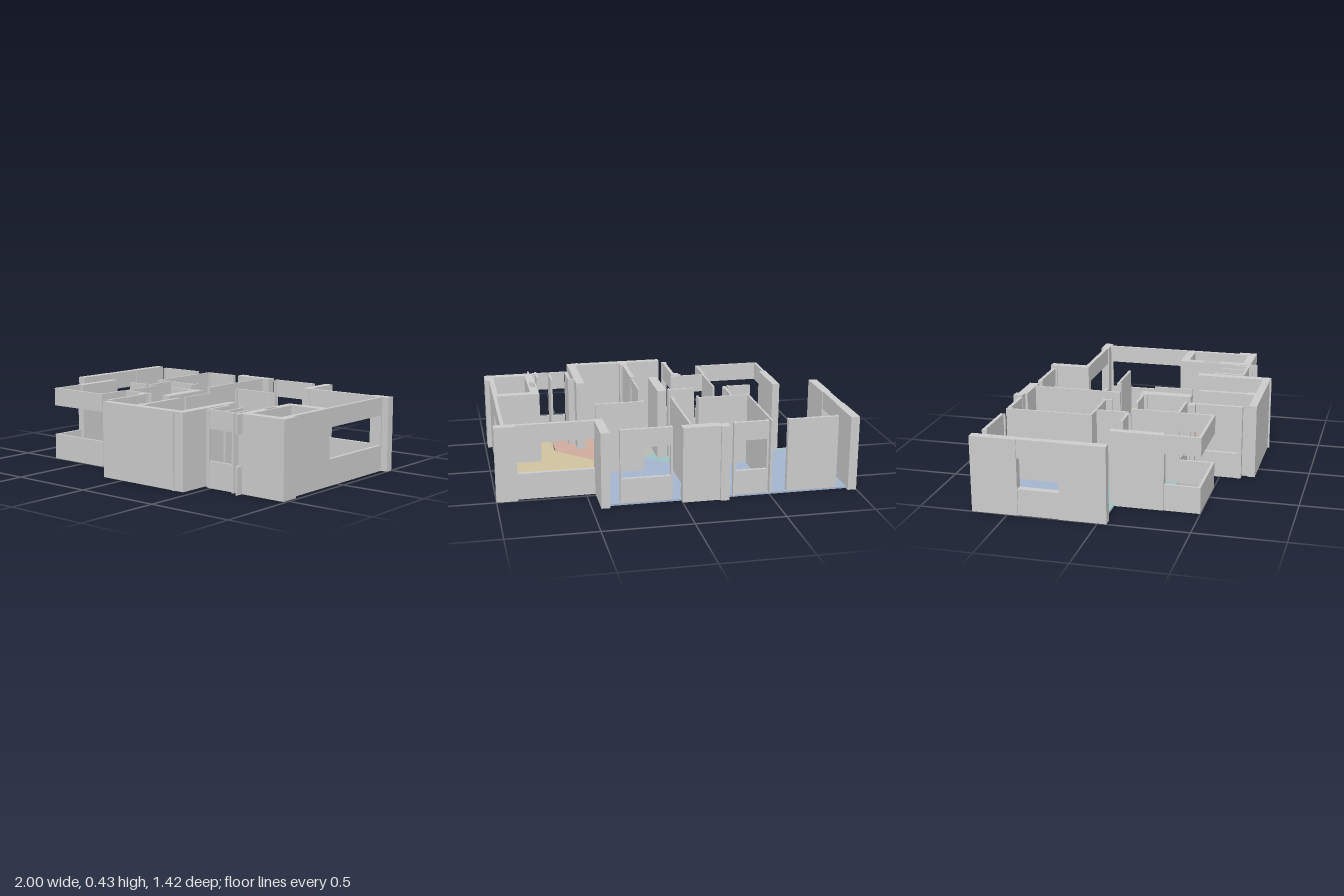
import * as THREE from 'three';

const H = 0.43, SILL = 0.15, HEAD = 0.325, FLOOR = 0.01;

export function createModel() {
  const model = new THREE.Group();
  const grey = new THREE.MeshStandardMaterial({ color: 0xcccccc });

  // Box between two plan corners and two heights
  function block(parent, name, [x0, x1, z0, z1], y0 = 0, y1 = H) {
    const mesh = new THREE.Mesh(new THREE.BoxGeometry(x1 - x0, y1 - y0, z1 - z0), grey);
    mesh.position.set((x0 + x1) / 2, (y0 + y1) / 2, (z0 + z1) / 2);
    mesh.name = name;
    parent.add(mesh);
  }
  // Wall with an open window band: low parapet and high lintel
  function openWall(name, rect) {
    const g = new THREE.Group();
    g.name = name;
    block(g, 'parapet', rect, 0, SILL);
    block(g, 'lintel', rect, HEAD, H);
    model.add(g);
  }
  // Plan outline extruded upwards, with optional holes
  function slab(name, pts, height, material, holes = []) {
    const toVec = ([x, z]) => new THREE.Vector2(x, z);
    const shape = new THREE.Shape(pts.map(toVec));
    holes.forEach(h => shape.holes.push(new THREE.Path(h.map(toVec))));
    const geo = new THREE.ExtrudeGeometry(shape, { depth: height, bevelEnabled: false });
    geo.rotateX(Math.PI / 2).translate(0, height, 0);
    const mesh = new THREE.Mesh(geo, material);
    mesh.name = name;
    model.add(mesh);
  }
  const rectPts = (x0, x1, z0, z1) => [[x0, z0], [x1, z0], [x1, z1], [x0, z1]];
  const floor = (name, color, pts) =>
    slab(name, pts, FLOOR, new THREE.MeshStandardMaterial({ color }));

  // Coloured room floors
  floor('bedroomFloor', 0xa3b4cf, [[-0.95, -0.67], [0.4, -0.67], [0.4, -0.45], [0.525, -0.45],
    [0.525, -0.395], [0.315, -0.185], [0.25, -0.185], [0.25, -0.08], [0.1, 0.05], [0.07, 0.02],
    [-0.055, -0.11], [-0.2, -0.115], [-0.24, -0.155], [-0.59, -0.15], [-0.725, -0.01], [-0.95, -0.01]]);
  floor('bathroomFloor', 0x9cc2c2, [[-0.59, -0.15], [-0.24, -0.155], [-0.2, -0.115], [-0.055, -0.11],
    [0.07, 0.02], [0, 0.09], [-0.05, 0.09], [-0.05, 0.29], [-0.71, 0.29], [-0.71, 0.025],
    [-0.95, 0.025], [-0.95, -0.01], [-0.725, -0.01]]);
  floor('balconyFloor', 0xaaaaaa, rectPts(-0.735, -0.35, 0.295, 0.495));
  floor('hallFloor', 0xb6b8b4, [[0, 0.09], [0.07, 0.02], [0.1, 0.05], [0.1, 0.655], [-0.13, 0.655],
    [-0.13, 0.295], [0, 0.295]]);
  floor('kitchenFloor', 0xceac9e, [[0.1, 0.05], [0.25, -0.08], [0.585, 0.25], [0.585, 0.52],
    [0.49, 0.52], [0.49, 0.36], [0.45, 0.36], [0.45, 0.27], [0.405, 0.27], [0.405, 0.655], [0.1, 0.655]]);
  floor('livingFloor', 0xd0c29e, [[0.525, -0.45], [0.945, -0.45], [0.945, 0.085], [0.69, 0.085],
    [0.69, 0.52], [0.59, 0.52], [0.59, 0.25], [0.25, -0.085], [0.25, -0.185], [0.315, -0.185], [0.525, -0.395]]);
  floor('shaftFloor', 0xc4c0b8, rectPts(0.74, 0.93, 0.13, 0.48));

  // Shaft tower with a slot in its thick side
  slab('shaftWalls', [[0.69, 0.08], [0.96, 0.08], [0.96, 0.42], [0.985, 0.42], [0.985, 0.53],
    [0.69, 0.53]], H, grey, [rectPts(0.74, 0.93, 0.13, 0.48), rectPts(0.7, 0.73, 0.23, 0.33)]);

  // West wall with its small window
  block(model, 'westWallBack', [-1, -0.95, -0.7, -0.44]);
  block(model, 'westWallFront', [-1, -0.95, -0.21, 0.05]);
  openWall('westWindow', [-0.995, -0.955, -0.44, -0.21]);

  // Back chimney block and wall piers
  slab('backPier', [[-0.26, -0.715], [-0.21, -0.715], [-0.21, -0.7], [0, -0.7], [0, -0.645],
    [-0.21, -0.645], [-0.21, -0.66], [-0.26, -0.66]], H, grey);
  block(model, 'backLeftPier', [0.4, 0.45, -0.7, -0.45]);
  slab('cornerPier', [[0.88, -0.5], [1, -0.5], [1, -0.45], [0.96, -0.45], [0.96, -0.44],
    [0.94, -0.44], [0.94, -0.45], [0.88, -0.45]], H, grey);

  // Window walls around the outside
  openWall('backWindow', [0.45, 0.88, -0.478, -0.455]);
  openWall('eastWindow', [0.94, 0.96, -0.44, 0.08]);
  openWall('middleBackWindow', [-0.48, -0.3, -0.668, -0.648]);
  openWall('leftBackWindow', [0.06, 0.33, -0.668, -0.648]);
  openWall('kitchenWindow', [0.49, 0.69, 0.515, 0.53]);
  openWall('kitchenWindowEnd', [0.705, 0.715, 0.53, 0.575]);
  openWall('hallWindow', [-0.175, -0.155, 0.33, 0.6]);
  openWall('bathroomWindow', [-0.34, -0.14, 0.285, 0.3]);
  openWall('balconyFront', [-0.745, -0.345, 0.485, 0.5]);
  openWall('balconyWest', [-0.745, -0.73, 0.3, 0.485]);
  openWall('balconyEast', [-0.36, -0.345, 0.3, 0.485]);

  // Solid walls, jambs and partitions
  const walls = {
    backPanel: [-0.88, -0.61, -0.668, -0.648],
    backPanelJambWest: [-0.89, -0.88, -0.668, -0.638],
    backPanelJambEast: [-0.61, -0.6, -0.668, -0.638],
    middleWindowJamb: [-0.49, -0.48, -0.668, -0.638],
    middleWindowJambEast: [-0.3, -0.29, -0.675, -0.645],
    leftWindowJambWest: [0.05, 0.06, -0.668, -0.638],
    leftWindowJambEast: [0.33, 0.34, -0.668, -0.638],
    frontWall: [-0.14, 0.45, 0.655, 0.7],
    frontWallNub: [0.38, 0.39, 0.7, 0.71],
    frontSideWall: [0.4, 0.45, 0.25, 0.655],
    hallPier: [-0.055, 0, 0, 0.3],
    hallWindowCap: [-0.21, -0.15, 0.318, 0.33],
    hallWindowReveal: [-0.2, -0.175, 0.33, 0.355],
    hallWindowEnd: [-0.18, -0.15, 0.6, 0.625],
    bathroomWestWall: [-0.75, -0.707, 0, 0.3],
    bedroomPartition: [-0.513, -0.501, -0.668, -0.165],
    bedroomInnerWall: [-0.501, -0.215, -0.177, -0.165],
    bedroomInnerEnd: [-0.215, -0.203, -0.195, -0.13],
    middlePartition: [-0.061, -0.049, -0.645, -0.18],
    middlePartitionEnd: [-0.068, -0.05, -0.18, -0.12],
    livingPartition: [0.12, 0.4, -0.188, -0.173],
    livingPartitionEnd: [0.115, 0.127, -0.188, -0.16],
    bathroomPartition: [-0.415, -0.403, -0.165, -0.02],
    bathroomPartitionEnd: [-0.42, -0.4, -0.04, 0.02],
    bathroomScreenWest: [-0.57, -0.43, 0.013, 0.028],
    screenNubWest: [-0.442, -0.43, 0, 0.04],
    bathroomScreenEast: [-0.225, -0.075, 0.013, 0.028],
    screenNubEast: [-0.08, -0.068, 0, 0.045],
    bathroomDivider: [-0.353, -0.341, 0.02, 0.3],
    hallDivider: [0.097, 0.107, 0.05, 0.28],
    kitchenDivider: [0.08, 0.105, 0.32, 0.61],
    kitchenDividerEnd: [0.07, 0.12, 0.61, 0.655],
    kitchenSideWall: [0.47, 0.487, 0.35, 0.53],
    kitchenSideNub: [0.45, 0.487, 0.345, 0.36],
    kitchenDoorJamb: [0.58, 0.592, 0.37, 0.52],
    livingWindowJamb: [0.66, 0.672, 0.43, 0.55],
  };
  for (const [name, rect] of Object.entries(walls)) block(model, name, rect, 0.001);

  return model;
}
